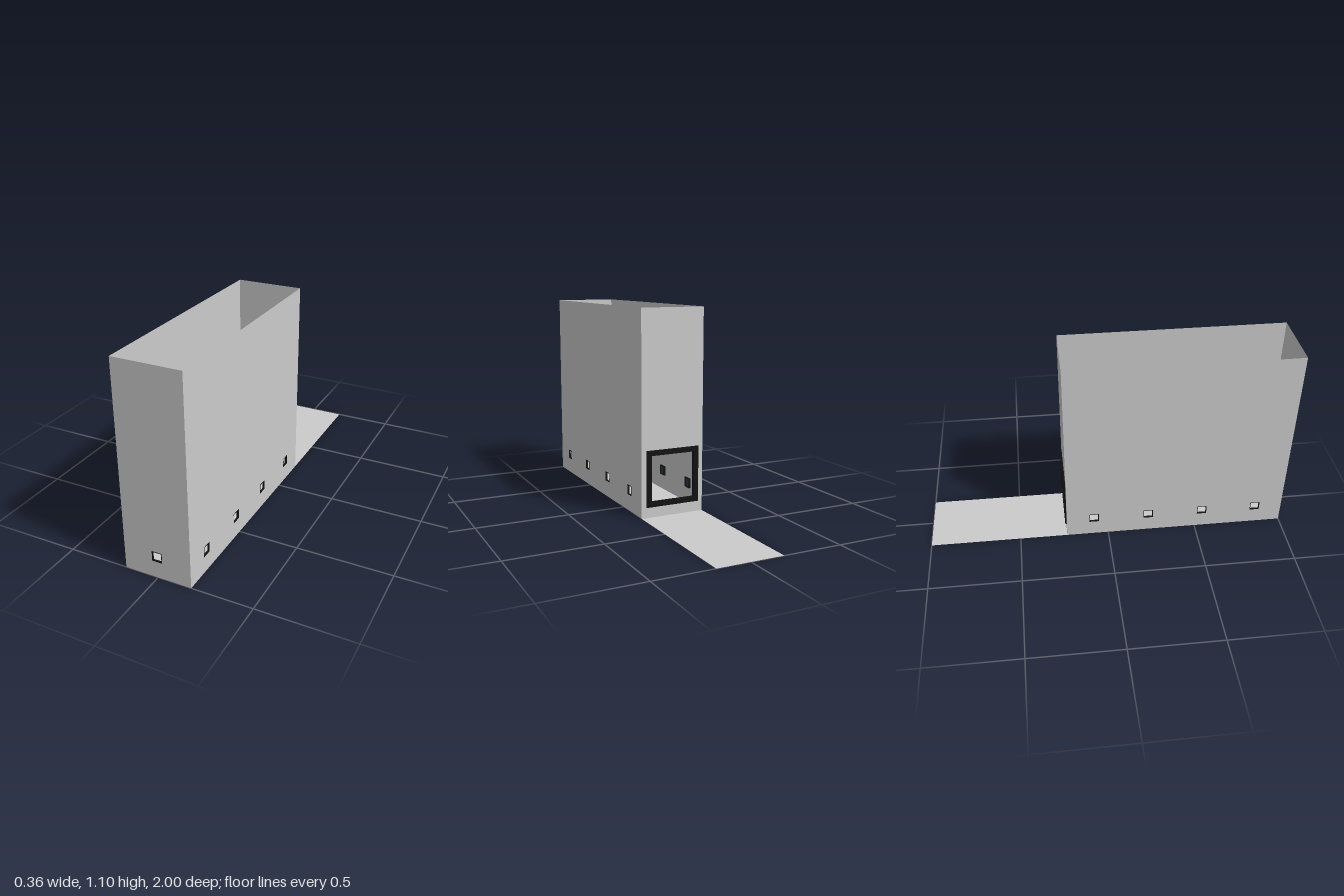
import * as THREE from 'three';

const W = 0.36, H = 1.1, FRONT = 1, BACK = -0.235, LEN = FRONT - BACK;
const HOLE = 0.054, HOLE_Y = 0.117, DOOR = 0.304, DOOR_Y = 0.21;

const grey = new THREE.MeshStandardMaterial({ color: 0xcccccc, side: THREE.DoubleSide, flatShading: true });
const black = new THREE.MeshStandardMaterial({ color: 0x111111, flatShading: true });

// Closed square outline centred on (cx, cy)
function square(Type, cx, cy, size) {
  const h = size / 2;
  return new Type([[-h, -h], [h, -h], [h, h], [-h, h]].map(([x, y]) => new THREE.Vector2(cx + x, cy + y)));
}

// Square rim: outer size, bar width and depth, starting at z0 in wall space
function rim(name, cx, cy, size, bar, z0, depth) {
  const shape = square(THREE.Shape, cx, cy, size);
  shape.holes.push(square(THREE.Path, cx, cy, size - 2 * bar));
  const mesh = new THREE.Mesh(new THREE.ExtrudeGeometry(shape, { depth, bevelEnabled: false }), black);
  mesh.position.z = z0;
  mesh.name = name;
  return mesh;
}

// Thin upright sheet facing local +z, pierced by square openings
function wall(name, width, openings) {
  const group = new THREE.Group();
  group.name = name;
  const w = width / 2;
  const shape = new THREE.Shape([[-w, 0], [w, 0], [w, H], [-w, H]].map(([x, y]) => new THREE.Vector2(x, y)));
  for (const o of openings) {
    shape.holes.push(square(THREE.Path, o.x, o.y, o.size - 2 * o.bar));
    group.add(rim(o.name, o.x, o.y, o.size, o.bar, o.z0, o.depth));
  }
  const sheet = new THREE.Mesh(new THREE.ShapeGeometry(shape), grey);
  sheet.name = name + 'Sheet';
  group.add(sheet);
  return group;
}

const smallHole = (x) => ({ name: 'holeRim', x, y: HOLE_Y, size: HOLE, bar: 0.003, z0: -0.01, depth: 0.011 });

export function createModel() {
  const model = new THREE.Group();
  model.name = 'openBox';

  // Front wall with one hole
  const front = wall('frontWall', W, [smallHole(0)]);
  front.position.z = FRONT;

  // Back wall with the framed doorway
  const back = wall('backWall', W, [
    { name: 'doorFrame', x: 0, y: DOOR_Y, size: DOOR, bar: 0.028, z0: -0.01, depth: 0.018 },
  ]);
  back.position.z = BACK;
  back.rotation.y = Math.PI;
  model.add(front, back);

  // Side walls, each with four evenly spaced holes
  const spots = [-1.5, -0.5, 0.5, 1.5].map((i) => smallHole((i * LEN) / 4));
  for (const side of [-1, 1]) {
    const panel = wall(side > 0 ? 'leftWall' : 'rightWall', LEN, spots);
    panel.position.set((side * W) / 2, 0, (FRONT + BACK) / 2);
    panel.rotation.y = (side * Math.PI) / 2;
    model.add(panel);
  }

  // Floor, running out behind the box as a ramp
  const floor = new THREE.Mesh(new THREE.PlaneGeometry(W, 2), grey);
  floor.name = 'floor';
  floor.rotation.x = -Math.PI / 2;
  model.add(floor);

  return model;
}
